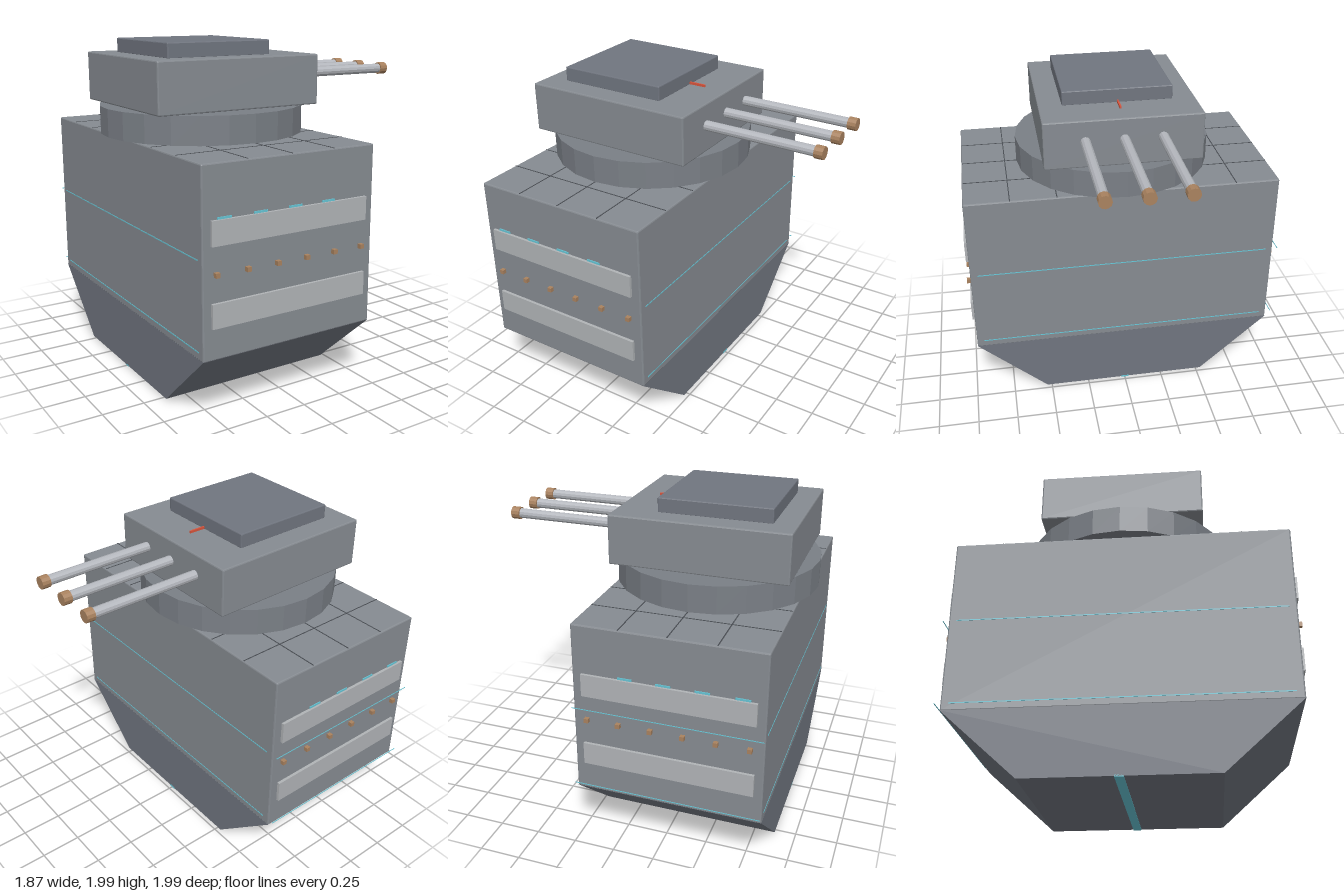
import * as THREE from 'three';
import { RoundedBoxGeometry } from 'three/addons/geometries/RoundedBoxGeometry.js';

export function createModel() {
  const root = new THREE.Group();
  const mat = (color) => new THREE.MeshStandardMaterial({ color, flatShading: true });
  const armour = mat(0x868b91), dark = mat(0x70757f), ringGrey = mat(0x7a7f86);
  const plate = mat(0xb0b3b6), steel = mat(0xb4b7bd), copper = mat(0xa9825f);
  const cyan = mat(0x66c4d4), red = mat(0xd8543c), seam = mat(0x4a4e54);
  const cx = -0.325; // centre line of hull and turret

  function add(name, geometry, material, x, y, z, parent = root) {
    const mesh = new THREE.Mesh(geometry, material);
    mesh.name = name;
    mesh.position.set(x, y, z);
    parent.add(mesh);
    return mesh;
  }
  // box given by its extents
  function box(name, material, [x0, x1], [y0, y1], [z0, z1], bevel = 0, parent = root) {
    const size = [x1 - x0, y1 - y0, z1 - z0];
    const geometry = bevel ? new RoundedBoxGeometry(...size, 1, bevel) : new THREE.BoxGeometry(...size);
    return add(name, geometry, material, (x0 + x1) / 2, (y0 + y1) / 2, (z0 + z1) / 2, parent);
  }

  // main block
  box('hullBlock', armour, [-0.875, 0.225], [0.39, 1.435], [-0.965, 0.965], 0.008);

  // tapered keel, a trapezoid extruded across the width
  const section = new THREE.Shape();
  section.moveTo(-0.965, 0.395);
  section.lineTo(-0.53, 0.004);
  section.lineTo(0.53, 0.004);
  section.lineTo(0.965, 0.395);
  section.closePath();
  const keel = new THREE.ExtrudeGeometry(section, { depth: 1.1, bevelEnabled: false });
  keel.rotateY(-Math.PI / 2);
  add('keel', keel, dark, 0.225, 0, 0);
  box('keelLight', cyan, [-0.875, 0.227], [0, 0.01], [-0.025, 0.025]);

  // deck plate seams
  for (const x of [-0.6, cx, -0.05])
    box('deckSeam', seam, [x - 0.003, x + 0.003], [1.43, 1.437], [-0.96, 0.96]);
  for (const z of [-0.69, -0.41, 0.41, 0.69])
    box('deckSeam', seam, [-0.87, 0.22], [1.43, 1.437], [z - 0.003, z + 0.003]);

  // glowing side seams and thin rear rails
  for (const y of [0.435, 0.935]) {
    for (const x of [-0.875, 0.225])
      box('sideSeam', cyan, [x - 0.002, x + 0.002], [y - 0.003, y + 0.003], [-0.92, 0.92]);
    box('rearRail', cyan, [-0.875, 0.225], [y - 0.002, y + 0.002], [-1, -0.997]);
  }

  // armour plates, rivets and lights on both ends
  for (const s of [1, -1]) {
    const end = new THREE.Group();
    end.name = s > 0 ? 'frontDetails' : 'backDetails';
    root.add(end);
    const span = (a, b) => (s > 0 ? [a, b] : [-b, -a]);
    for (const y of [0.57, 1.01])
      box('endPlate', plate, [-0.825, 0.17], [y, y + 0.135], span(0.955, 0.982), 0, end);
    for (let i = 0; i < 6; i++) {
      const x = -0.795 + i * 0.188;
      box('rivet', copper, [x - 0.013, x + 0.013], [0.845, 0.871], span(0.955, 0.99), 0, end);
    }
    for (let i = 0; i < 4; i++) {
      const x = -0.745 + i * 0.22;
      box('plateLight', cyan, [x - 0.042, x + 0.042], [1.145, 1.157], span(0.955, 0.97), 0, end);
    }
  }

  // turret
  const turret = new THREE.Group();
  turret.name = 'turret';
  root.add(turret);
  add('turretRing', new THREE.CylinderGeometry(0.615, 0.615, 0.165, 24), ringGrey, cx, 1.5185, 0, turret);
  box('turretHousing', armour, [-0.855, 0.2], [1.605, 1.9], [-0.477, 0.477], 0.008, turret);
  box('turretRoof', dark, [-0.72, -0.05], [1.895, 1.985], [-0.335, 0.335], 0.006, turret);
  box('sightMark', red, [-0.05, 0.055], [1.895, 1.914], [-0.005, 0.005], 0, turret);

  // three barrels with muzzle rings
  for (const z of [-0.23, 0, 0.23]) {
    const barrel = new THREE.CylinderGeometry(0.03, 0.03, 0.76, 12).rotateZ(-Math.PI / 2);
    const muzzle = new THREE.CylinderGeometry(0.038, 0.038, 0.052, 12).rotateZ(-Math.PI / 2);
    add('barrel', barrel, steel, 0.52, 1.77, z, turret);
    add('muzzle', muzzle, copper, 0.908, 1.77, z, turret);
  }
  return root;
}
